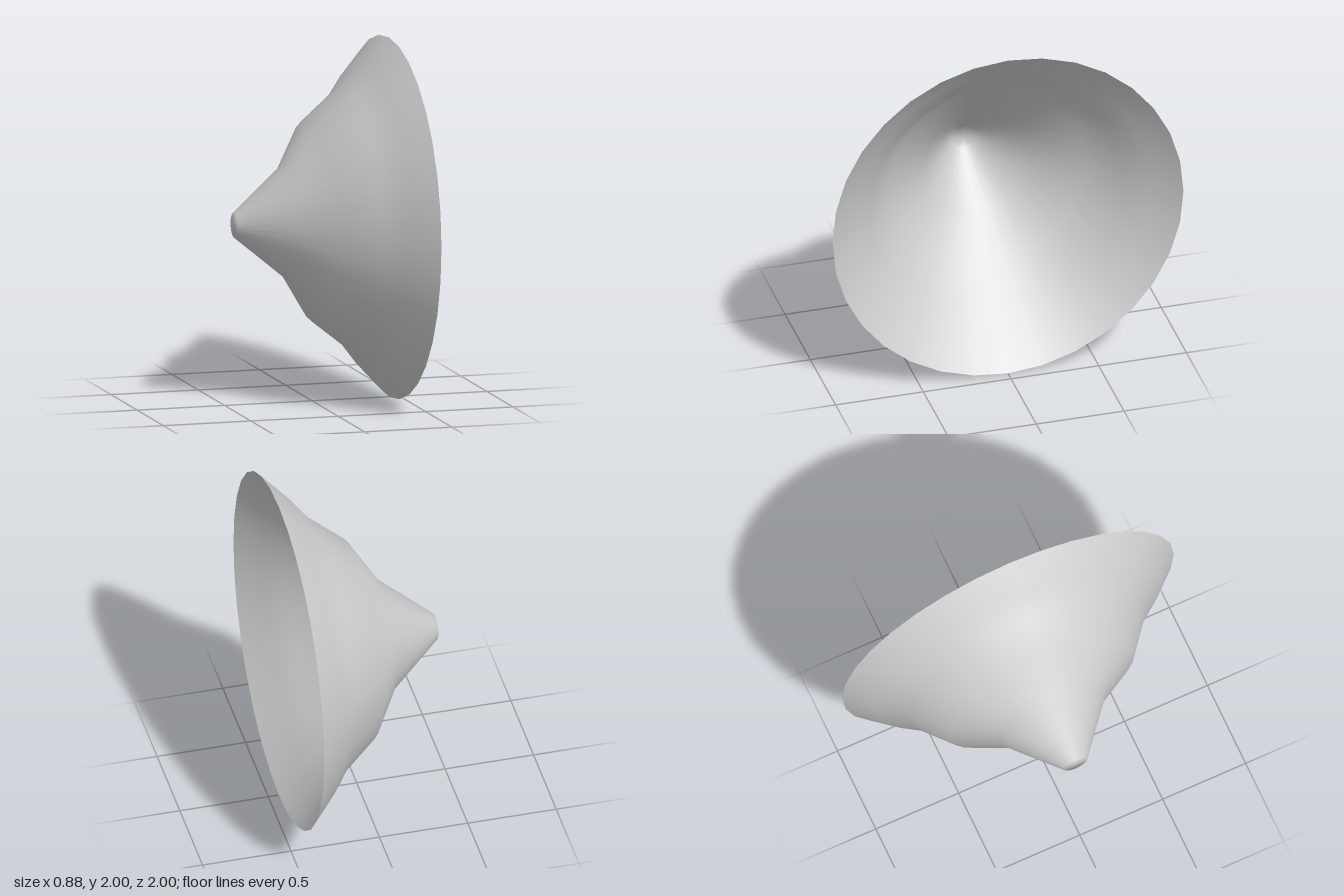
import * as THREE from 'three';

export function createModel() {
  const group = new THREE.Group();

  // Stepped profile [radius, position along axis], from closed tip to open rim
  const profile = [
    [0, -0.445], [0.07, -0.445], [0.315, -0.15], [0.56, 0],
    [0.72, 0.2], [0.855, 0.305], [1, 0.44],
  ].map(([r, x]) => new THREE.Vector2(r, x));

  // Thin open horn, turned so its mouth faces +x
  const geometry = new THREE.LatheGeometry(profile, 32);
  geometry.rotateZ(-Math.PI / 2);
  geometry.translate(0, 1, 0);

  const horn = new THREE.Mesh(
    geometry,
    new THREE.MeshStandardMaterial({ color: 0xcccccc, side: THREE.DoubleSide })
  );
  horn.name = 'hornShell';
  group.add(horn);
  return group;
}
